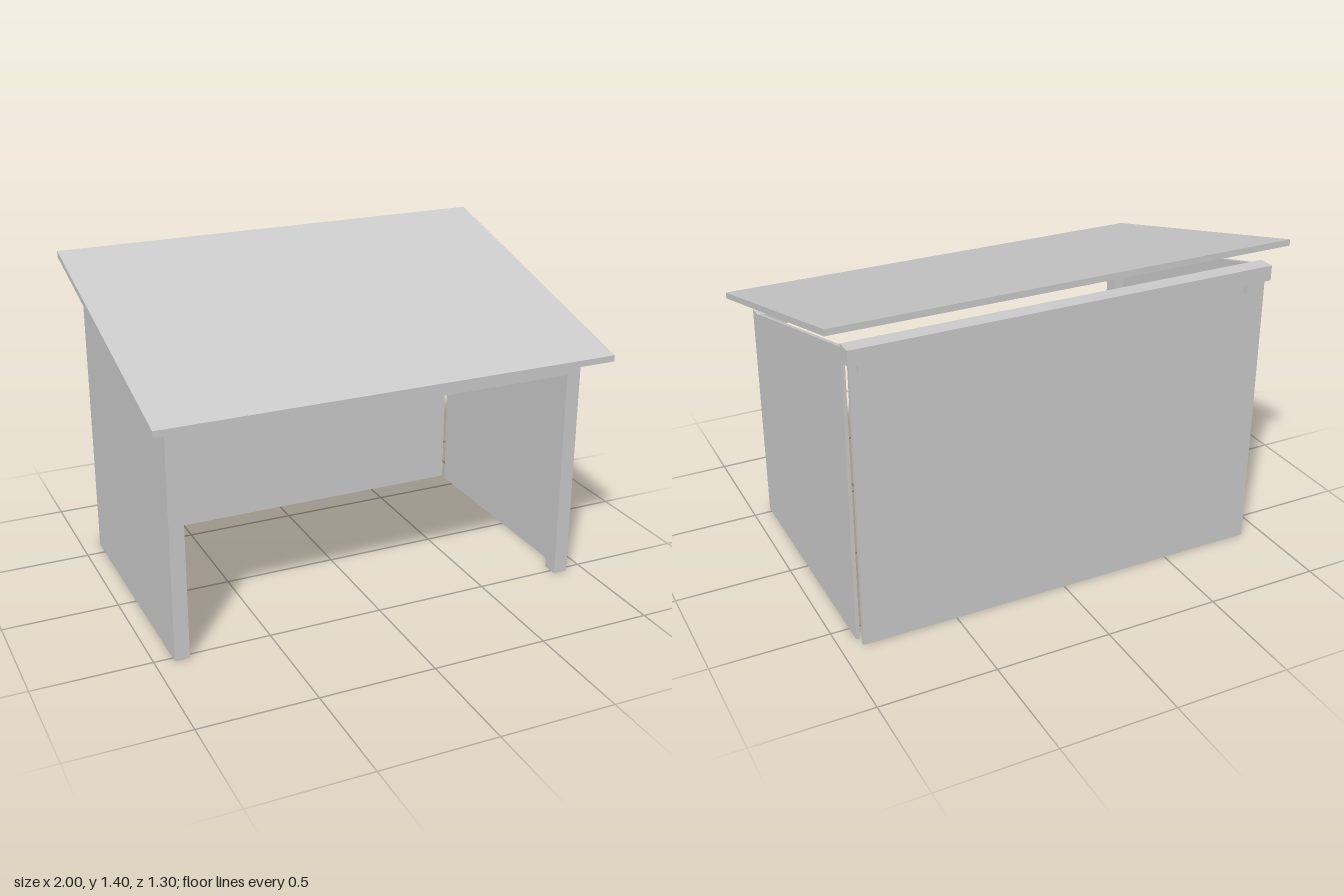
import * as THREE from 'three';

const grey = new THREE.MeshStandardMaterial({ color: 0xcccccc });
grey.name = 'light grey';

export function createModel() {
  const model = new THREE.Group();
  model.name = 'shelter';

  const add = (name, geometry) => {
    const mesh = new THREE.Mesh(geometry, grey);
    mesh.name = name;
    model.add(mesh);
    return mesh;
  };

  // Box given by its limits on each axis
  const box = (name, [x0, x1], [y0, y1], [z0, z1]) =>
    add(name, new THREE.BoxGeometry(x1 - x0, y1 - y0, z1 - z0))
      .position.set((x0 + x1) / 2, (y0 + y1) / 2, (z0 + z1) / 2);

  const polygon = (points) => new THREE.Shape(points.map(([a, b]) => new THREE.Vector2(a, b)));
  const extrude = (points, depth) =>
    new THREE.ExtrudeGeometry(polygon(points), { depth, bevelEnabled: false }).translate(0, 0, -depth / 2);

  // Side profile of (z, y) points, extruded across x
  const sideProfile = (name, points, width, x = 0) =>
    add(name, extrude(points, width).rotateY(-Math.PI / 2).translate(x, 0, 0));

  // Sloping roof with upright edges
  sideProfile('roof', [[0.65, 1.025], [0.65, 1.052], [-0.65, 1.4], [-0.65, 1.373]], 2);

  // Front frame: two posts joined by a beam
  add('frontFrame', extrude([
    [-0.92, 0], [-0.857, 0], [-0.857, 0.945], [0.857, 0.945],
    [0.857, 0], [0.92, 0], [0.92, 1.005], [-0.92, 1.005],
  ], 0.072).translate(0, 0, 0.491));

  // Thin side walls and the small tabs under the back beam
  const wall = [[0.455, 0], [0.455, 1.01], [-0.58, 1.287], [-0.58, 0]];
  for (const [side, s] of [['left', 1], ['right', -1]]) {
    sideProfile(side + 'Wall', wall, 0.015, s * 0.9125);
    const x = [s * 0.805, s * 0.88].sort((a, b) => a - b);
    box(side + 'BeamTab', x, [1.19, 1.235], [-0.65, -0.627]);
  }

  // Back beam with the back wall hanging below it
  box('backBeam', [-0.92, 0.92], [1.235, 1.3], [-0.65, -0.578]);
  box('backWall', [-0.908, 0.908], [0, 1.235], [-0.627, -0.61]);

  return model;
}
